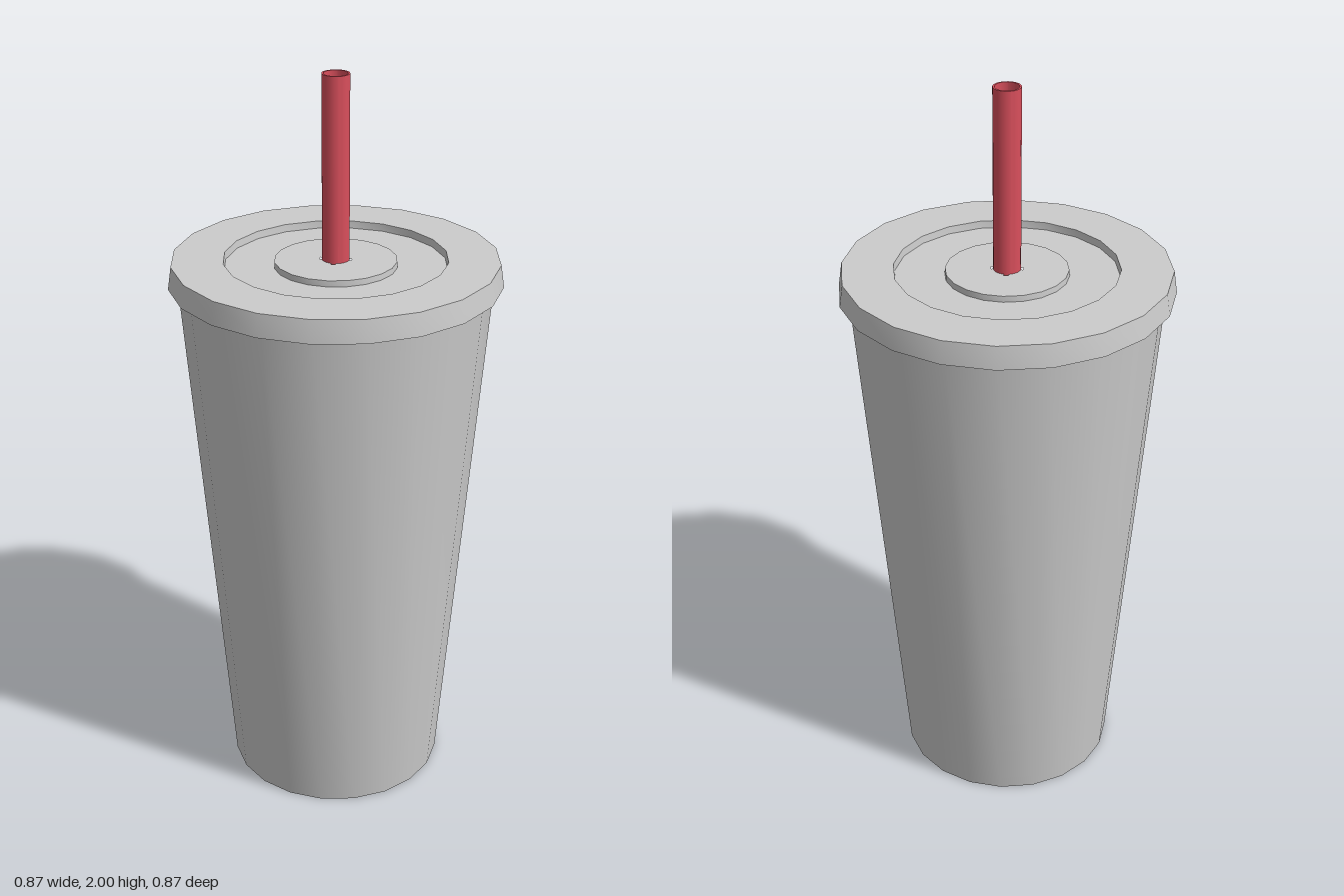
import * as THREE from 'three';
import { toCreasedNormals } from 'three/addons/utils/BufferGeometryUtils.js';

const SIDES = 20;
const grey = new THREE.MeshStandardMaterial({ color: 0xcccccc });
const greyThin = new THREE.MeshStandardMaterial({ color: 0xcccccc, side: THREE.DoubleSide });
const red = new THREE.MeshStandardMaterial({ color: 0xd94f5c });

// Revolve [radius, height] pairs, smooth around the axis with sharp rims.
function turned(name, profile, material) {
  const points = profile.map(([r, y]) => new THREE.Vector2(r, y));
  const geometry = toCreasedNormals(new THREE.LatheGeometry(points, SIDES), Math.PI / 7);
  const mesh = new THREE.Mesh(geometry, material);
  mesh.name = name;
  return mesh;
}

export function createModel() {
  const model = new THREE.Group();
  model.name = 'drinkCup';

  // Tapered cup with a recessed base
  model.add(turned('cup', [
    [0, 0.02], [0.285, 0.02], [0.285, 0], [0.296, 0], [0.413, 1.48],
  ], grey));

  // Lid: overhanging lip, flat rim, sunken ring and raised centre
  const discTop = 1.516;
  model.add(turned('lid', [
    [0.405, 1.48], [0.418, 1.46], [0.437, 1.46], [0.428, 1.52],
    [0.293, 1.52], [0.291, 1.5], [0.161, 1.5], [0.16, discTop],
  ], grey));

  // Centre disc, with a hole notched by the ends of two crossed slits
  const disc = new THREE.Shape();
  for (let i = 0; i < SIDES; i++) {
    const a = (i / SIDES) * Math.PI * 2;
    disc[i ? 'lineTo' : 'moveTo'](0.16 * Math.cos(a), 0.16 * Math.sin(a));
  }
  const slitTurn = 0.3, notch = 0.15;
  const hole = new THREE.Path();
  for (let i = 0; i < 4; i++) {
    const a = slitTurn + (i * Math.PI) / 2;
    const corners = [[0.034, -notch], [0.042, -notch], [0.042, notch], [0.034, notch], [0.034, 0.5], [0.034, 1.07]];
    corners.forEach(([r, da], k) => {
      hole[i || k ? 'lineTo' : 'moveTo'](r * Math.cos(a + da), r * Math.sin(a + da));
    });
  }
  disc.holes.push(hole);
  const centre = new THREE.Mesh(new THREE.ShapeGeometry(disc).rotateX(-Math.PI / 2), grey);
  centre.name = 'lidCentre';
  centre.position.y = discTop;
  model.add(centre);

  // Four flaps folded down between the slits
  for (let i = 0; i < 4; i++) {
    const start = slitTurn + Math.PI / 2 + notch + (i * Math.PI) / 2;
    const flap = new THREE.Mesh(
      new THREE.CylinderGeometry(0.034, 0.004, 0.02, 5, 1, true, start, Math.PI / 2 - 2 * notch),
      greyThin);
    flap.name = 'strawHoleFlap';
    flap.position.y = discTop - 0.01;
    model.add(flap);
  }

  // Hollow straw reaching down into the cup
  model.add(turned('straw', [
    [0.031, 0.08], [0.036, 0.08], [0.036, 2], [0.031, 2], [0.031, 0.08],
  ], red));

  return model;
}
